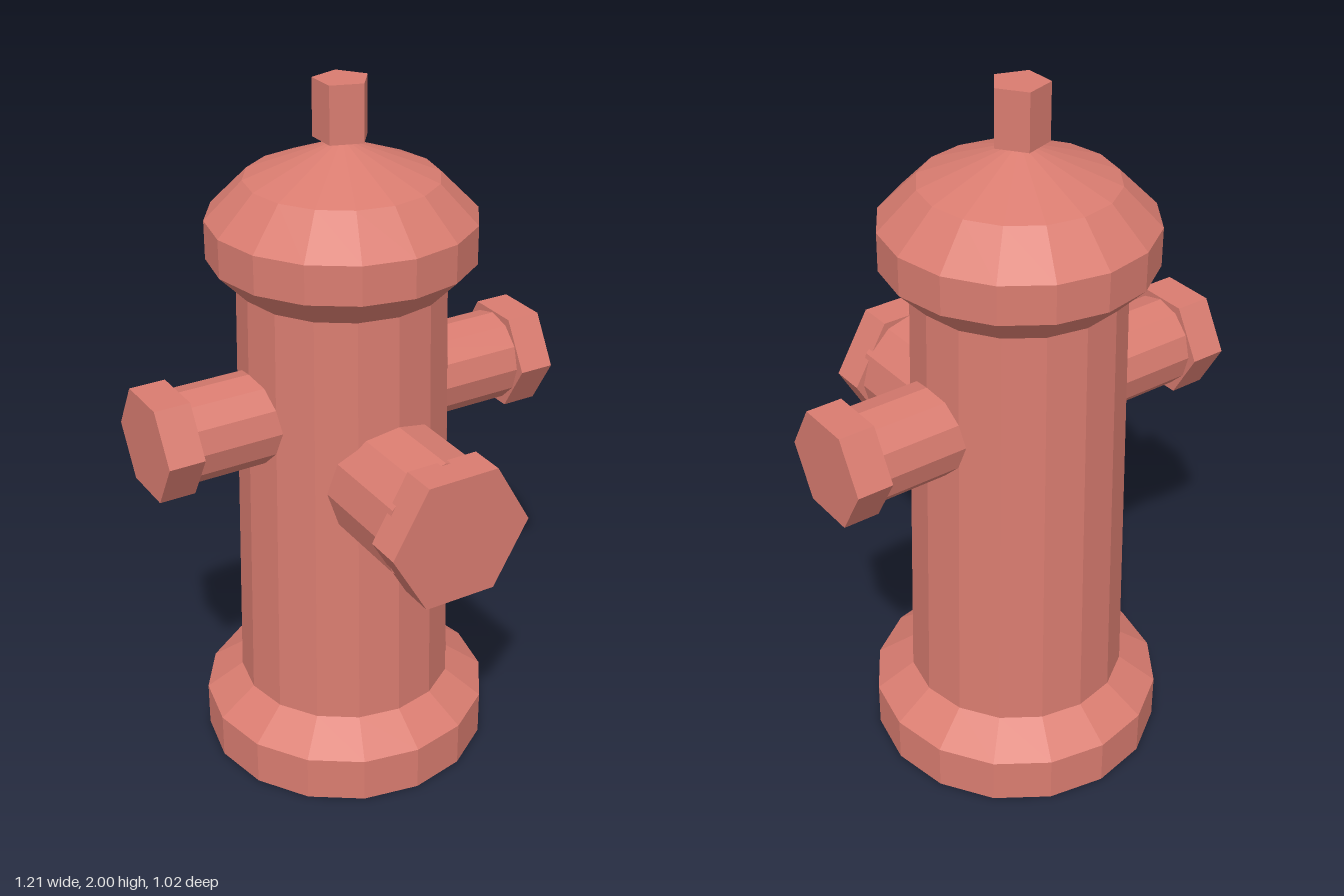
import * as THREE from 'three';

const red = new THREE.MeshStandardMaterial({ color: 0xd97c70, flatShading: true });
red.name = 'hydrant red';

function part(name, geometry, parent) {
  const mesh = new THREE.Mesh(geometry, red);
  mesh.name = name;
  parent.add(mesh);
  return mesh;
}

// Turned section with 16 sides, profile listed from bottom to top
function turned(name, profile, parent) {
  const points = profile.map(([r, y]) => new THREE.Vector2(r, y));
  return part(name, new THREE.LatheGeometry(points, 16), parent);
}

// Twelve-sided pipe with a hexagonal cap, pointing along +z before turning
function outlet(name, y, turn, pipeRadius, capRadius, parent) {
  const group = new THREE.Group();
  group.name = name;
  group.position.y = y;
  group.rotation.y = turn;

  const pipe = new THREE.CylinderGeometry(pipeRadius, pipeRadius, 0.32, 12);
  pipe.rotateX(Math.PI / 2).translate(0, 0, 0.36);
  part(name + 'Pipe', pipe, group);

  const cap = new THREE.CylinderGeometry(capRadius, capRadius, 0.102, 6, 1, false, Math.PI / 2);
  cap.rotateX(Math.PI / 2).translate(0, 0, 0.552);
  part(name + 'Cap', cap, group);
  parent.add(group);
}

export function createModel() {
  const model = new THREE.Group();
  model.name = 'fireHydrant';

  // Everything is arranged around the barrel's axis
  const body = new THREE.Group();
  body.name = 'hydrantBody';
  body.position.z = -0.092;
  model.add(body);

  turned('baseFlange', [[0, 0], [0.42, 0], [0.42, 0.135], [0.313, 0.212]], body);
  turned('barrel', [[0.313, 0.212], [0.288, 1.45]], body);
  turned('bonnet', [[0.288, 1.45], [0.366, 1.53], [0.366, 1.637], [0.262, 1.742], [0, 1.845]], body);

  // Pentagonal operating nut
  const nut = new THREE.CylinderGeometry(0.077, 0.077, 0.155, 5, 1, false, Math.PI / 2);
  part('topNut', nut, body).position.y = 1.9225;

  outlet('frontOutlet', 0.95, 0, 0.184, 0.208, body);
  outlet('leftOutlet', 1.108, Math.PI / 2, 0.13, 0.156, body);
  outlet('rightOutlet', 1.108, -Math.PI / 2, 0.13, 0.156, body);

  return model;
}
